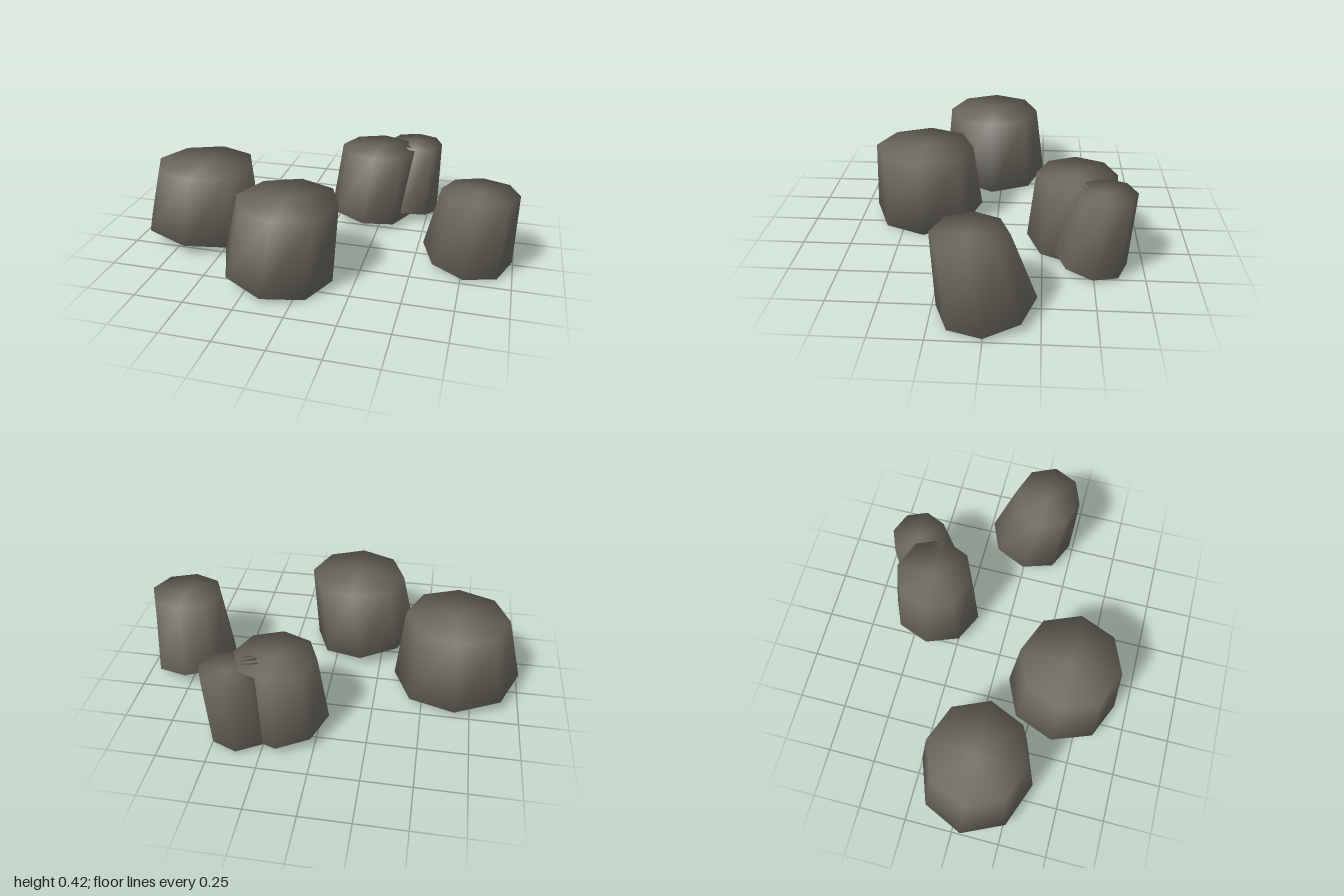
import * as THREE from 'three';
import { mergeVertices } from 'three/addons/utils/BufferGeometryUtils.js';

const TOP = 0.42;
const SIDES = 8;

// Each stone: bottom ring [x, z, rx, rz], top ring [x, z, rx, rz],
// and the underside plane [height at centre, slope in x, slope in z].
const STONES = [
  { name: 'leftmostLargeStone', bottom: [-0.67, 0.05, 0.33, 0.3], top: [-0.645, 0.055, 0.265, 0.255], base: [0.05, -0.09, 0.05] },
  { name: 'frontLargeStone', bottom: [-0.14, 0.385, 0.28, 0.295], top: [-0.085, 0.39, 0.255, 0.26], base: [0.045, -0.16, -0.04] },
  { name: 'backMediumStone', bottom: [0.175, -0.41, 0.225, 0.24], top: [0.21, -0.41, 0.205, 0.2], base: [0.045, -0.12, 0.02] },
  { name: 'backSmallStone', bottom: [0.37, -0.49, 0.18, 0.18], top: [0.4, -0.545, 0.15, 0.145], base: [0.04, -0.08, 0.17] },
  { name: 'sideSmallStone', bottom: [0.765, 0, 0.23, 0.23], top: [0.805, 0.065, 0.19, 0.175], base: [0.042, -0.12, -0.14] },
];

// Tapered leaning octagonal stone with a flat top, a sloping underside and fully smooth normals
function stoneGeometry({ bottom, top, base }) {
  let geo = new THREE.CylinderGeometry(1, 1, 1, SIDES, 1);
  geo.deleteAttribute('normal');
  geo.deleteAttribute('uv');
  geo = mergeVertices(geo, 1e-4);
  const pos = geo.attributes.position;
  for (let i = 0; i < pos.count; i++) {
    const isTop = pos.getY(i) > 0;
    const [cx, cz, rx, rz] = isTop ? top : bottom;
    const dx = pos.getX(i) * rx;
    const dz = pos.getZ(i) * rz;
    const y = isTop ? TOP : Math.max(0, base[0] + base[1] * dx + base[2] * dz);
    pos.setXYZ(i, cx + dx, y, cz + dz);
  }
  geo.computeVertexNormals();
  return geo;
}

export function createModel() {
  const group = new THREE.Group();
  group.name = 'stoneCluster';
  const stone = new THREE.MeshStandardMaterial({ color: 0x6e6b60 });
  stone.name = 'grey stone';

  for (const spec of STONES) {
    const mesh = new THREE.Mesh(stoneGeometry(spec), stone);
    mesh.name = spec.name;
    group.add(mesh);
  }
  return group;
}
